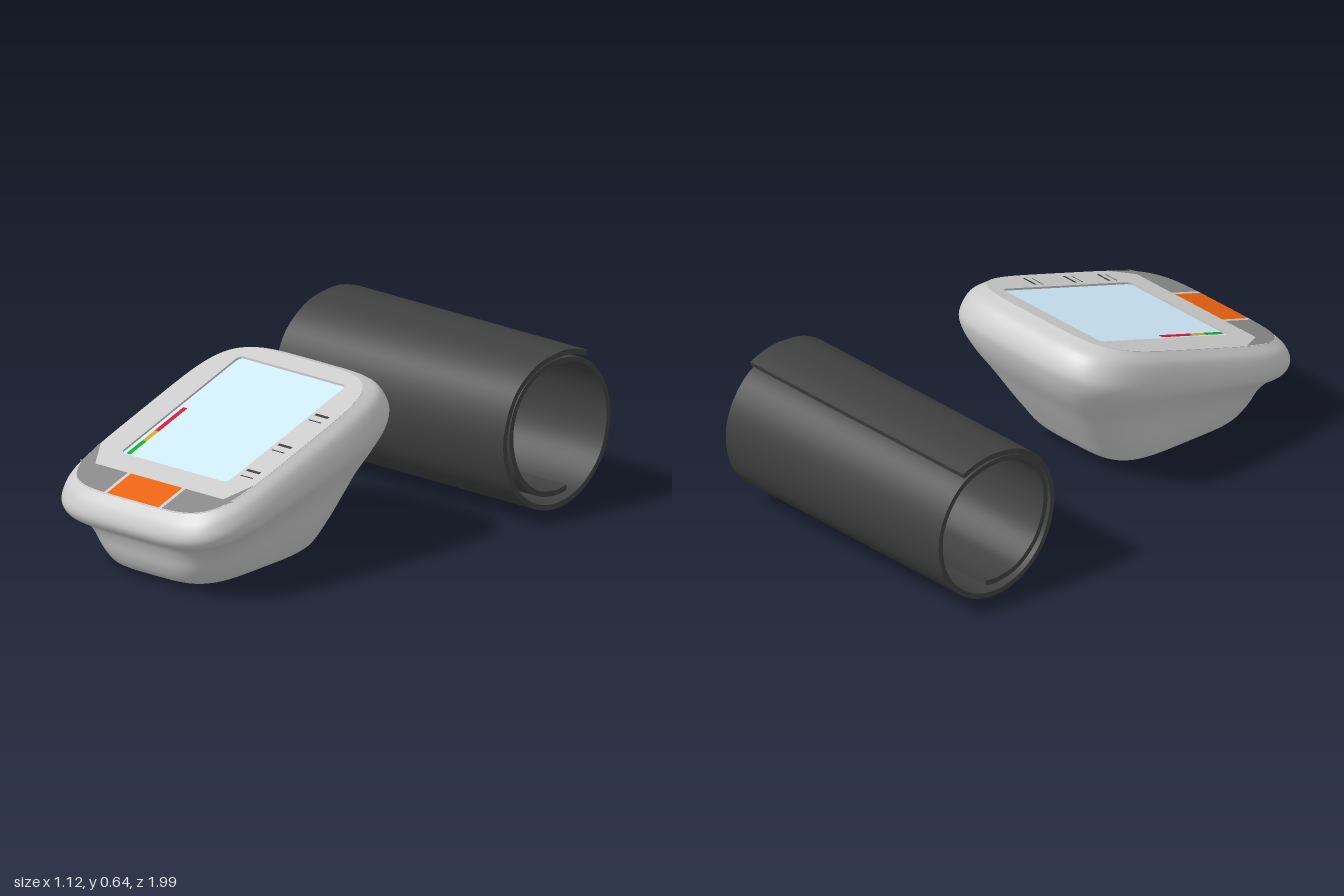
import * as THREE from 'three';
import { toCreasedNormals } from 'three/addons/utils/BufferGeometryUtils.js';

const CX = 0.025;           // monitor centre in x
const N = 5;                // squareness of the rounded outlines
const FACE = { front: 0.95, back: 0.03, half: 0.375 };
const planeY = z => 0.64 - (z - 0.03) * 0.342;   // sloping face

const mat = (color, side = THREE.FrontSide) => new THREE.MeshStandardMaterial({ color, side });

function add(group, name, geometry, material) {
  const mesh = new THREE.Mesh(geometry, material);
  mesh.name = name;
  group.add(mesh);
}

// Point of a unit superellipse
function unit(t, n) {
  const p = v => Math.sign(v) * Math.abs(v) ** (2 / n);
  return [p(Math.cos(t)), p(Math.sin(t))];
}

// Lay a flat or extruded geometry (drawn as x, -z) on the sloping face
function layOnFace(geometry, lift) {
  const p = geometry.attributes.position;
  for (let i = 0; i < p.count; i++) {
    const z = -p.getY(i);
    p.setXYZ(i, p.getX(i), planeY(z) + p.getZ(i) + lift, z);
  }
  geometry.computeVertexNormals();
  return geometry;
}

function roundRect(x0, x1, z0, z1, r, Path = THREE.Shape) {
  const s = new Path();
  const a = -z1, b = -z0;
  s.moveTo(x0 + r, a);
  s.lineTo(x1 - r, a).quadraticCurveTo(x1, a, x1, a + r);
  s.lineTo(x1, b - r).quadraticCurveTo(x1, b, x1 - r, b);
  s.lineTo(x0 + r, b).quadraticCurveTo(x0, b, x0, b - r);
  s.lineTo(x0, a + r).quadraticCurveTo(x0, a, x0 + r, a);
  return s;
}

// Housing: tilted rounded-rectangle loops, from the face edge down to the foot
function housingGeometry() {
  // front z, front y, back z, back y, half width
  const rows = [
    [0.95, 0.325, 0.03, 0.64, 0.375],
    [0.982, 0.285, -0.035, 0.618, 0.408],
    [0.996, 0.235, -0.078, 0.55, 0.425],
    [0.978, 0.202, -0.074, 0.5, 0.421],
    [0.93, 0.182, -0.045, 0.425, 0.388],
    [0.905, 0.14, 0.02, 0.32, 0.345],
    [0.882, 0.075, 0.125, 0.155, 0.3],
    [0.85, 0.03, 0.195, 0.06, 0.262],
    [0.77, 0.01, 0.27, 0.022, 0.2],
    [0.6, 0.003, 0.42, 0.008, 0.08],
    [0.51, 0.002, 0.51, 0.002, 0],
  ];
  const front = new THREE.CatmullRomCurve3(rows.map(r => new THREE.Vector3(r[0], r[1], r[4])));
  const back = new THREE.CatmullRomCurve3(rows.map(r => new THREE.Vector3(r[2], r[3], 0)));
  const levels = 50, around = 96, pos = [], index = [];
  for (let j = 0; j <= levels; j++) {
    const v = j / levels, f = front.getPoint(v), b = back.getPoint(v);
    const n = N - 1.3 * v;
    for (let i = 0; i < around; i++) {
      const [sx, sz] = unit(i / around * Math.PI * 2, n);
      const s = (sz + 1) / 2;
      pos.push(CX + f.z * sx, b.y + (f.y - b.y) * s, b.x + (f.x - b.x) * s);
      if (j === levels) continue;
      const a = j * around + i, c = j * around + (i + 1) % around;
      index.push(a, c, a + around, c, c + around, a + around);
    }
  }
  const g = new THREE.BufferGeometry();
  g.setAttribute('position', new THREE.Float32BufferAttribute(pos, 3));
  g.setIndex(index);
  g.computeVertexNormals();
  return g;
}

// Button whose front edge follows the face outline
function buttonGeometry(x0, x1, inset) {
  const pts = [];
  const mid = (FACE.front + FACE.back) / 2, half = (FACE.front - FACE.back) / 2;
  for (let i = 0; i <= 24; i++) {
    const x = x0 + (x1 - x0) * i / 24;
    const u = Math.min(1, Math.abs((x - CX) / FACE.half));
    pts.push(new THREE.Vector2(x, -(mid + half * (1 - u ** N) ** (1 / N) - inset)));
  }
  pts.push(new THREE.Vector2(x1, -0.82), new THREE.Vector2(x0, -0.82));
  return layOnFace(new THREE.ShapeGeometry(new THREE.Shape(pts)), 0.003);
}

// Cuff: a strip rolled into an overlapping spiral, extruded along x
function cuffGeometry() {
  const path = [ // z, y from the outer flap to the inner end
    [-0.87, 0.572], [-0.8, 0.593], [-0.72, 0.598], [-0.6, 0.572], [-0.49, 0.485], [-0.437, 0.33],
    [-0.475, 0.17], [-0.575, 0.07], [-0.705, 0.036], [-0.84, 0.072], [-0.945, 0.175], [-0.982, 0.32],
    [-0.95, 0.445], [-0.86, 0.541], [-0.72, 0.573], [-0.59, 0.543], [-0.5, 0.455], [-0.47, 0.33],
    [-0.51, 0.195], [-0.6, 0.11], [-0.7, 0.086], [-0.76, 0.093],
  ];
  const curve = new THREE.SplineCurve(path.map(([z, y]) => new THREE.Vector2(-z, y)));
  const outer = [], inner = [], steps = 140, thick = 0.01;
  for (let i = 0; i <= steps; i++) {
    const p = curve.getPoint(i / steps), t = curve.getTangent(i / steps);
    outer.push(new THREE.Vector2(p.x - t.y * thick, p.y + t.x * thick));
    inner.unshift(new THREE.Vector2(p.x + t.y * thick, p.y - t.x * thick));
  }
  const shape = new THREE.Shape([...outer, ...inner]);
  const g = new THREE.ExtrudeGeometry(shape, { depth: 1.115, bevelEnabled: false });
  g.translate(0, 0, -0.5575).rotateY(Math.PI / 2);
  return toCreasedNormals(g, 0.6);
}

export function createModel() {
  const model = new THREE.Group();
  const monitor = new THREE.Group();
  monitor.name = 'monitor';
  model.add(monitor);

  const grey = mat(0xcccccc), darkGrey = mat(0x888888), dark = mat(0x404040);
  add(monitor, 'housing', housingGeometry(), grey);

  // Face plate with the display window cut out
  const outline = [];
  for (let i = 0; i < 96; i++) {
    const [sx, sz] = unit(i / 96 * Math.PI * 2, N);
    outline.push(new THREE.Vector2(CX + FACE.half * sx,
      -(FACE.front + FACE.back) / 2 + (FACE.front - FACE.back) / 2 * sz));
  }
  const face = new THREE.Shape(outline);
  face.holes.push(roundRect(-0.235, 0.285, 0.1, 0.73, 0.025, THREE.Path));
  add(monitor, 'facePlate',
    layOnFace(new THREE.ExtrudeGeometry(face, { depth: 0.014, bevelEnabled: false }), -0.013), grey);

  // Recessed display and level bar
  const panel = (name, x0, x1, z0, z1, r, lift, material) =>
    add(monitor, name, layOnFace(new THREE.ShapeGeometry(roundRect(x0, x1, z0, z1, r)), lift), material);
  panel('display', -0.245, 0.295, 0.09, 0.74, 0.02, -0.007, mat(0xcfeafa));
  const bar = [['highLevel', 0.42, 0.57, 0xdc1430], ['middleLevel', 0.57, 0.635, 0xd0a820],
    ['lowLevel', 0.635, 0.72, 0x16a828]];
  for (const [name, z0, z1, color] of bar)
    panel(name, -0.215, -0.195, z0, z1, 0.001, -0.004, mat(color));

  // Plain marks beside the three readouts
  for (const z of [0.285, 0.48, 0.645]) {
    panel('readoutMark', 0.302, 0.366, z - 0.006, z + 0.006, 0.001, 0.003, dark);
    panel('readoutUnderline', 0.302, 0.362, z + 0.032, z + 0.037, 0.001, 0.003, dark);
  }

  // Buttons along the front edge
  add(monitor, 'startButton', buttonGeometry(-0.1, 0.15, 0.003), mat(0xea6210));
  add(monitor, 'rightButton', buttonGeometry(-0.348, -0.115, 0.003), darkGrey);
  add(monitor, 'leftButton', buttonGeometry(0.165, 0.398, 0.003), darkGrey);

  add(model, 'armCuff', cuffGeometry(), mat(0x404040, THREE.DoubleSide));
  return model;
}
